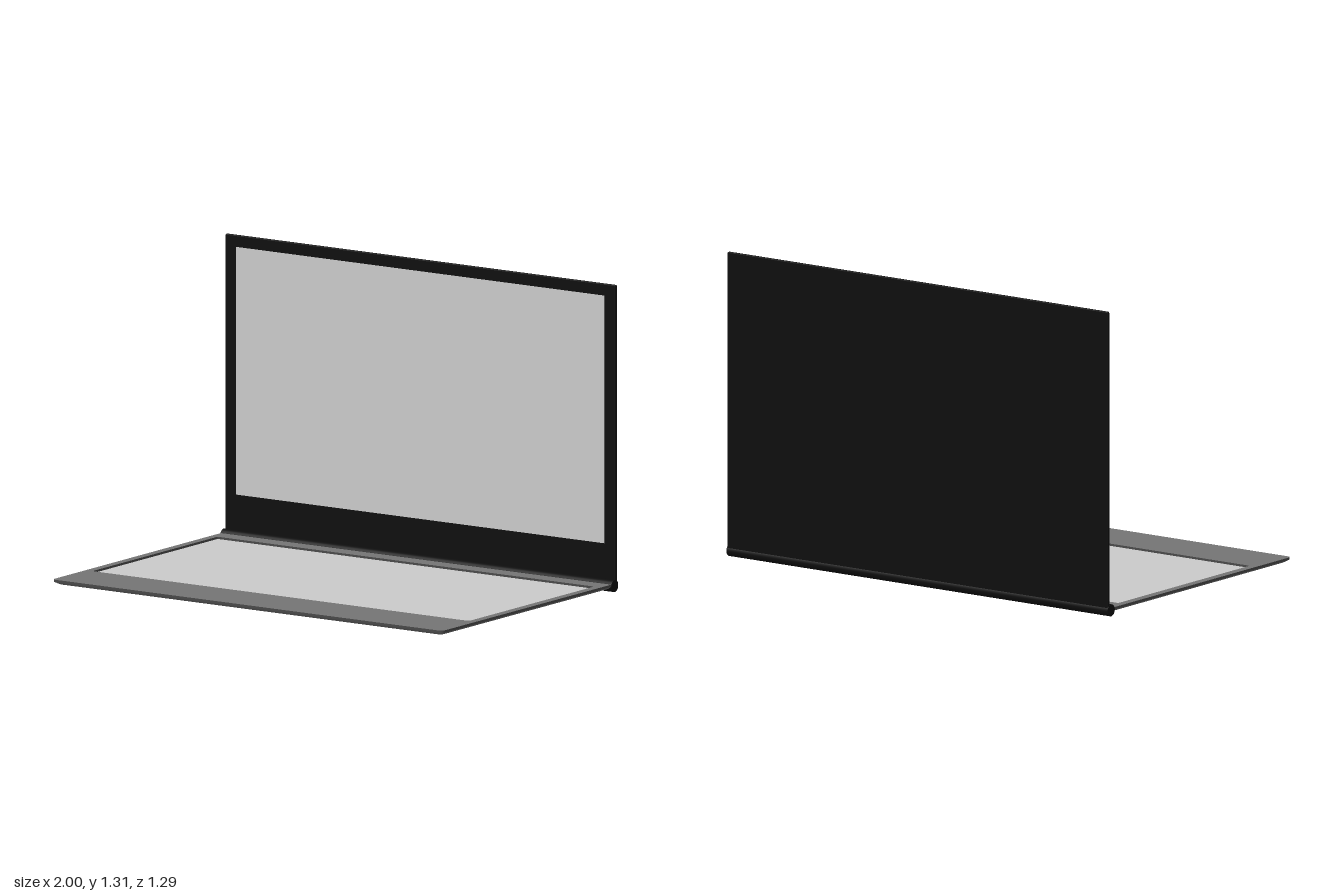
import * as THREE from 'three';

const paint = (name, color) => {
  const m = new THREE.MeshStandardMaterial({ color });
  m.name = name;
  return m;
};

// Rounded rectangle between two corners
function roundedRect(path, x0, y0, x1, y1, r) {
  path.moveTo(x0 + r, y0);
  path.lineTo(x1 - r, y0);
  path.quadraticCurveTo(x1, y0, x1, y0 + r);
  path.lineTo(x1, y1 - r);
  path.quadraticCurveTo(x1, y1, x1 - r, y1);
  path.lineTo(x0 + r, y1);
  path.quadraticCurveTo(x0, y1, x0, y1 - r);
  path.lineTo(x0, y0 + r);
  path.quadraticCurveTo(x0, y0, x0 + r, y0);
  return path;
}

// Flat slab lying on the ground plane; shape y runs towards -z
function slab(shape, bottom, height) {
  const g = new THREE.ExtrudeGeometry(shape, { depth: height, bevelEnabled: false, curveSegments: 5 });
  return g.rotateX(-Math.PI / 2).translate(0, bottom, 0);
}

export function createModel() {
  const model = new THREE.Group();
  model.name = 'laptop';
  const grey = paint('casing grey', 0x747474);
  const dark = paint('edge grey', 0x484848);
  const black = paint('lid black', 0x0d0d0d);
  const pale = paint('panel pale grey', 0xcacaca);

  const add = (name, geometry, material, parent = model) => {
    const mesh = new THREE.Mesh(geometry, material);
    mesh.name = name;
    parent.add(mesh);
    return mesh;
  };

  // Base: tapered underside, framed deck and sunken keyboard panel
  const base = new THREE.Group();
  base.name = 'base';
  model.add(base);
  const outline = () => roundedRect(new THREE.Shape(), -0.998, -0.646, 0.998, 0.62, 0.02);

  const hull = slab(outline(), 0.014, 0.011);
  const p = hull.attributes.position;
  for (let i = 0; i < p.count; i++) {
    if (p.getY(i) > 0.02) continue;
    p.setX(i, p.getX(i) * 0.982);
    if (p.getZ(i) > 0) p.setZ(i, p.getZ(i) - 0.018);
  }
  hull.computeVertexNormals();
  add('underside', hull, grey, base);

  const deck = outline();
  deck.holes.push(roundedRect(new THREE.Path(), -0.963, -0.4, 0.963, 0.522, 0.012));
  add('deckFrame', slab(deck, 0.025, 0.01), [grey, dark], base);

  const panel = roundedRect(new THREE.Shape(), -0.96, -0.397, 0.96, 0.519, 0.012);
  add('keyboardPanel', slab(panel, 0.0245, 0.002), [pale, dark], base);

  // Hinge along the back edge
  const hinge = new THREE.CylinderGeometry(0.0255, 0.0255, 2, 24).rotateZ(Math.PI / 2);
  add('hinge', hinge, black).position.set(0, 0.0255, -0.621);

  // Upright lid with softened edges
  const lid = new THREE.Group();
  lid.name = 'lid';
  model.add(lid);
  const b = 0.004;
  const lidShape = roundedRect(new THREE.Shape(), -0.998 + b, 0.025, 0.998 - b, 1.311 - b, 0.003);
  const shell = new THREE.ExtrudeGeometry(lidShape, {
    depth: 0.006, bevelThickness: b, bevelSize: b, bevelSegments: 3, curveSegments: 3,
  }).translate(0, 0, -0.639);
  add('lidShell', shell, black, lid);

  // Display
  const screen = new THREE.BoxGeometry(1.882, 1.06, 0.002);
  add('screen', screen, pale, lid).position.set(0, 0.731, -0.6288);

  return model;
}
